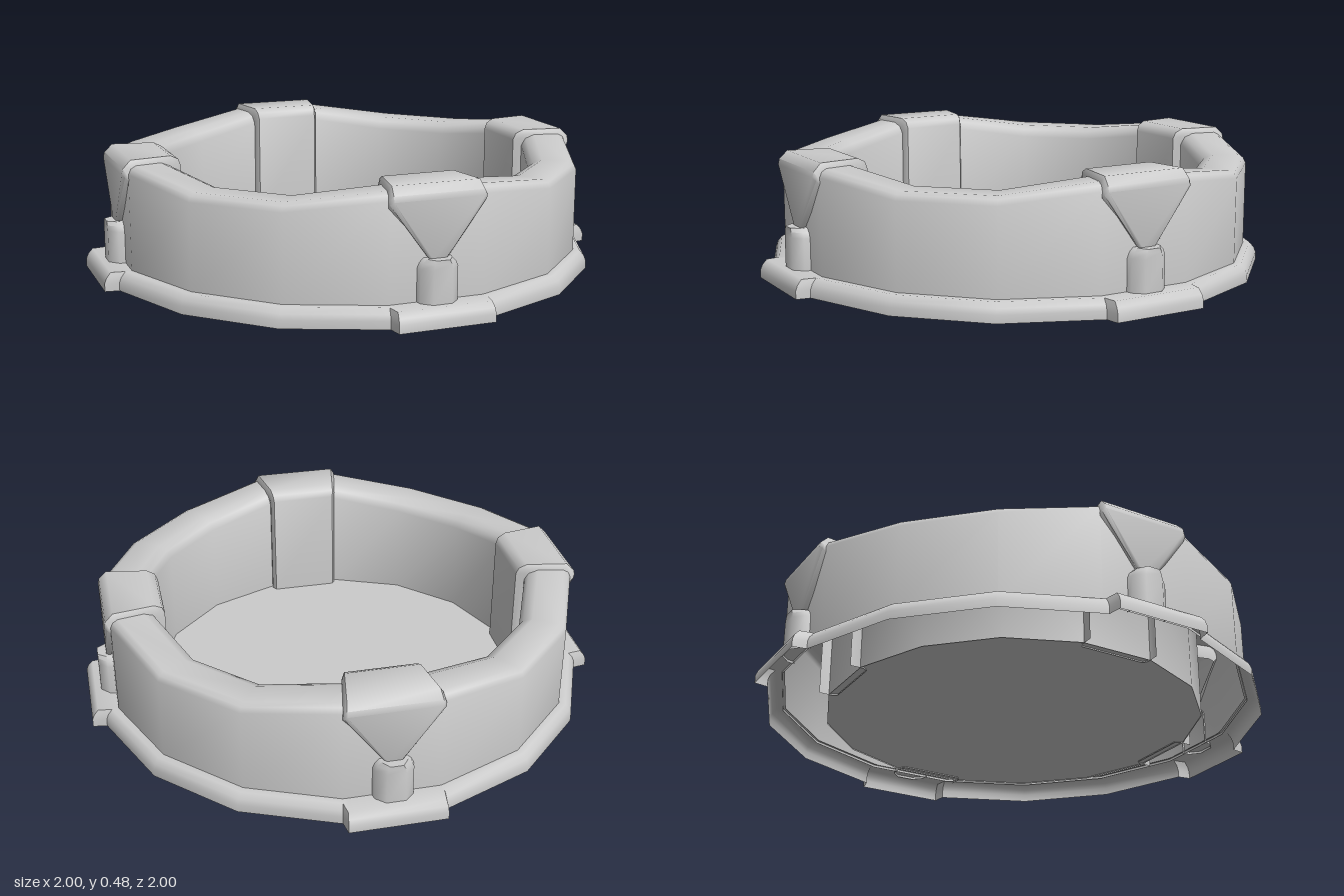
import * as THREE from 'three';
import { toCreasedNormals } from 'three/addons/utils/BufferGeometryUtils.js';

const material = new THREE.MeshStandardMaterial({ color: 0xcccccc, side: THREE.DoubleSide });

// Skins a grid of points: rows run upwards, columns run left to right seen from outside.
function loft(name, rows, closed) {
  const n = rows[0].length;
  const index = [];
  for (let j = 0; j < rows.length - 1; j++) {
    for (let i = 0; i < (closed ? n : n - 1); i++) {
      const k = (i + 1) % n;
      const a = j * n + i, b = j * n + k, c = (j + 1) * n + k, d = (j + 1) * n + i;
      index.push(a, b, c, a, c, d);
    }
  }
  const geometry = new THREE.BufferGeometry();
  geometry.setAttribute('position', new THREE.Float32BufferAttribute(rows.flat(2), 3));
  geometry.setIndex(index);
  const mesh = new THREE.Mesh(toCreasedNormals(geometry, 0.9), material);
  mesh.name = name;
  return mesh;
}

// Sixteen-sided wall whose rim rises towards the four clamps
function makeWall() {
  const profile = [[0.915, 0.06, 0], [0.915, -0.03, 1], [0.905, -0.01, 1], [0.885, 0, 1],
    [0.785, 0, 1], [0.75, -0.015, 1], [0.735, -0.045, 1], [0.735, 0, 0]];
  const rows = profile.map(([r, y, fromRim]) => Array.from({ length: 16 }, (_, i) => {
    const a = (i + 0.5) * Math.PI / 8;
    const rim = i % 4 === 0 || i % 4 === 3 ? 0.46 : 0.42;
    return [r * Math.sin(a), y + fromRim * rim, r * Math.cos(a)];
  }));
  return loft('wall', rows, true);
}

// Hollow bevelled skirt that steps out into four square feet
function makeSkirt() {
  const quarter = [[-0.18, 1], [0.18, 1], [0.188, 0.947], [0.537, 0.803], [0.803, 0.537], [0.947, 0.188]];
  const outline = [];
  for (let q = 0; q < 4; q++) {
    for (const p of quarter) {
      let [x, z] = p;
      for (let k = 0; k < q; k++) [x, z] = [z, -x];
      outline.push([x, z]);
    }
  }
  const ring = (inset, y) => outline.map(([x, z]) => {
    const s = 1 - inset / Math.hypot(x, z);
    return [x * s, y, z * s];
  });
  const inner = outline.map(([x, z]) => {
    const s = 0.905 / Math.hypot(x, z);
    return [x * s, 0.07, z * s];
  });
  return loft('baseSkirt', [ring(0, 0), ring(0, 0.03), ring(0.008, 0.05), ring(0.025, 0.07), inner], true);
}

// Clamp folded over the rim: outer triangle, top plate and inner pillar
function makeClamp() {
  // surface z, y, half width, then the z, y its sides run back to
  const profile = [
    [0.92, 0.22, 0.035, 0.88, 0.23], [0.92, 0.43, 0.18, 0.88, 0.39], [0.915, 0.45, 0.18, 0.88, 0.39],
    [0.885, 0.48, 0.175, 0.86, 0.40], [0.73, 0.48, 0.148, 0.77, 0.40], [0.70, 0.465, 0.143, 0.765, 0.39],
    [0.69, 0.44, 0.14, 0.76, 0.38], [0.69, 0, 0.14, 0.76, 0]];
  const across = [[-1, 0, 1], [-1, 0, 0.25], [-1, 0.012, 0], [1, 0.012, 0], [1, 0, 0.25], [1, 0, 1]];
  return loft('rimClamp', profile.map(([z, y, w, rz, ry]) => across.map(([side, inset, t]) =>
    [side * (w - inset), y + (ry - y) * t, z + (rz - z) * t])), false);
}

// Short faceted post standing on the foot
function makePost() {
  const plan = [[-0.075, 0.89], [-0.07, 0.92], [-0.035, 0.953], [0.035, 0.953], [0.07, 0.92], [0.075, 0.89]];
  const rows = [[0.06, 1], [0.19, 1], [0.21, 0.88], [0.225, 0.68]]
    .map(([y, s]) => plan.map(([x, z]) => [x * s, y, z]));
  rows.push(plan.map(([x]) => [x * 0.68, 0.225, 0.89]));
  return loft('post', rows, false);
}

export function createModel() {
  const model = new THREE.Group();
  model.name = 'basin';
  model.add(makeWall(), makeSkirt());

  // Floor disc
  const floor = new THREE.Mesh(new THREE.CircleGeometry(0.735, 16, Math.PI / 16), material);
  floor.name = 'floor';
  floor.rotation.x = -Math.PI / 2;
  floor.position.y = 0.005;
  model.add(floor);

  // Four clamps with their posts
  for (let q = 0; q < 4; q++) {
    const support = new THREE.Group();
    support.name = 'support' + (q + 1);
    support.add(makeClamp(), makePost());
    support.rotation.y = q * Math.PI / 2;
    model.add(support);
  }
  return model;
}
